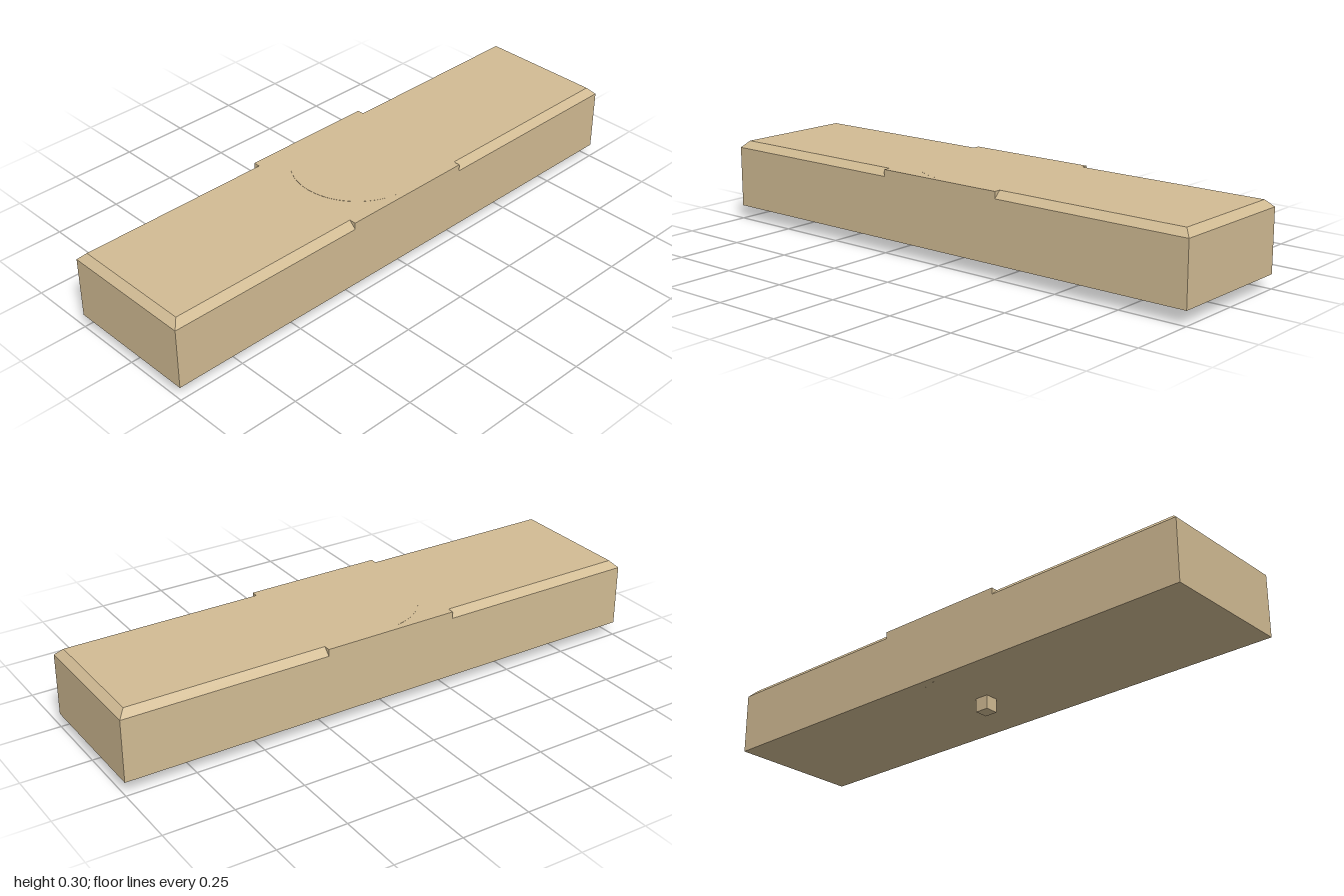
import * as THREE from 'three';

const BASE = 0.05, H = 0.25, W = 0.5, HALF = 1, MID = 0.25, BEVEL = 0.025;

// End section: a box whose top edges are bevelled on both sides and the outer end
function armGeometry(side) {
  const len = HALF - MID;
  const g = new THREE.BoxGeometry(len, H, W, 1, 2, 1);
  const p = g.attributes.position;
  for (let i = 0; i < p.count; i++) {
    const y = p.getY(i);
    if (Math.abs(y) < 1e-6) {
      p.setY(i, H / 2 - BEVEL);
    } else if (y > 0) {
      p.setZ(i, Math.sign(p.getZ(i)) * (W / 2 - BEVEL));
      if (p.getX(i) * side > 0) p.setX(i, side * (len / 2 - BEVEL));
    }
  }
  // The top face must stay split from the bevels
  const flat = g.toNonIndexed();
  flat.computeVertexNormals();
  return flat;
}

export function createModel() {
  const group = new THREE.Group();
  const wood = new THREE.MeshStandardMaterial({ color: 0xd2bc94 });
  const add = (name, geometry, x, y) => {
    const mesh = new THREE.Mesh(geometry, wood);
    mesh.name = name;
    mesh.position.set(x, y, 0);
    group.add(mesh);
    return mesh;
  };

  const midY = BASE + H / 2;

  // Square-edged centre with a bevelled arm at each end
  add('centreBlock', new THREE.BoxGeometry(2 * MID, H, W), 0, midY);
  for (const side of [-1, 1]) {
    add(side > 0 ? 'leftArm' : 'rightArm', armGeometry(side), side * (HALF + MID) / 2, midY);
  }

  // Round core, almost flush: its left rim shows at the top, the other below
  const core = add('roundCore', new THREE.CylinderGeometry(0.23, 0.23, H, 64), 0, midY);
  core.rotation.z = -0.004;

  // Square peg underneath
  add('peg', new THREE.BoxGeometry(0.05, BASE, 0.05), 0, BASE / 2);

  return group;
}
